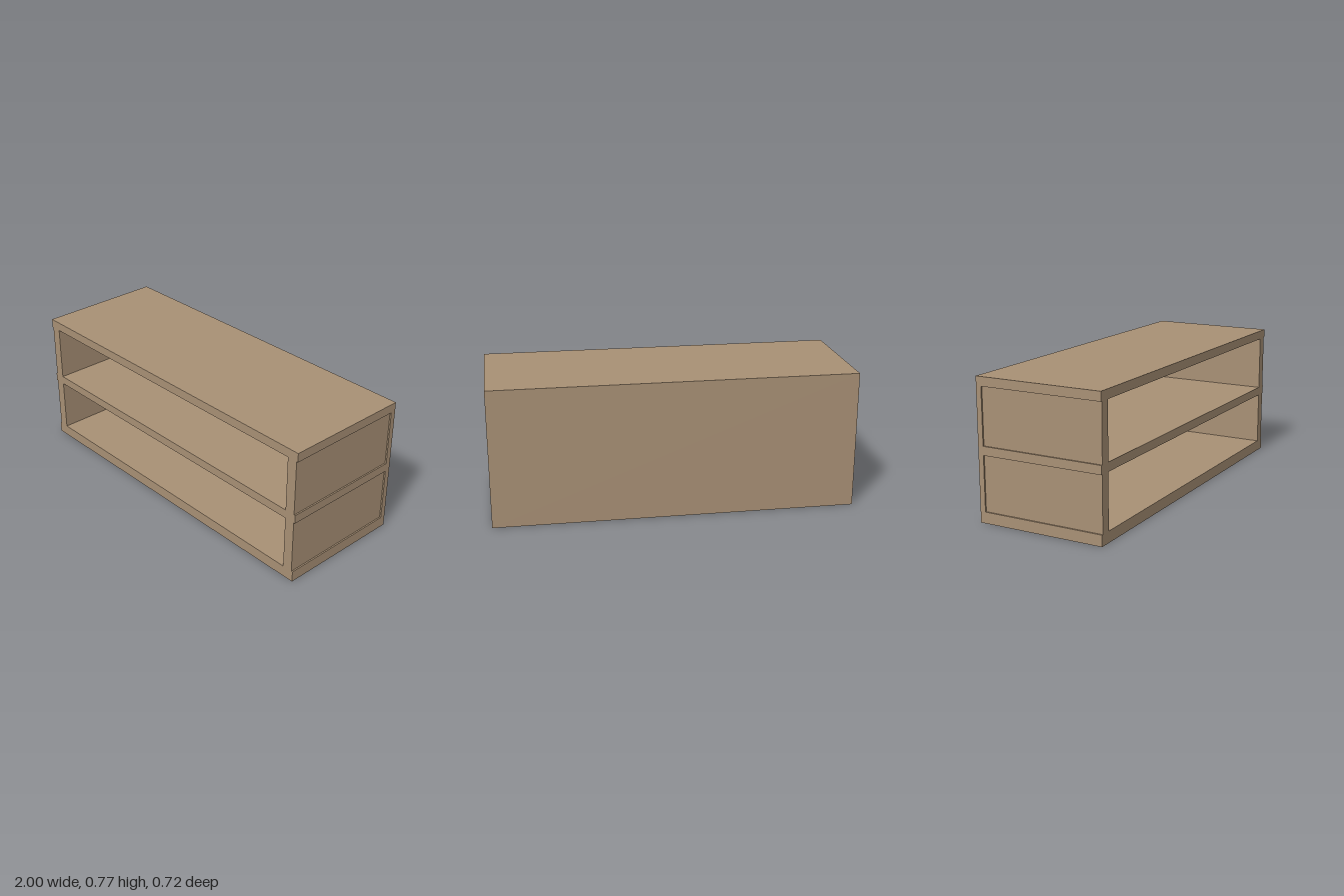
import * as THREE from 'three';

export function createModel() {
  const group = new THREE.Group();
  const wood = new THREE.MeshStandardMaterial({ color: 0xa89075 });
  wood.name = 'light brown wood';

  // Box given by its lower and upper corners
  function board(name, [x0, y0, z0], [x1, y1, z1]) {
    const mesh = new THREE.Mesh(new THREE.BoxGeometry(x1 - x0, y1 - y0, z1 - z0), wood);
    mesh.name = name;
    mesh.position.set((x0 + x1) / 2, (y0 + y1) / 2, (z0 + z1) / 2);
    group.add(mesh);
  }

  const W = 1, D = 0.36, H = 0.767, back = -0.33;
  const inner = 0.935, outer = 0.992;
  const levels = [
    ['bottomBoard', 0, 0.061],
    ['middleShelf', 0.361, 0.409],
    ['topBoard', 0.717, H],
  ];

  // Full-width back panel
  board('backPanel', [-W, 0, -D], [W, H, back]);

  // Horizontal boards
  for (const [name, y0, y1] of levels) board(name, [-W, y0, back], [W, y1, D]);

  // Slightly recessed side panels between the boards
  for (let i = 0; i < 2; i++) {
    const y0 = levels[i][2], y1 = levels[i + 1][1];
    const row = i ? 'upper' : 'lower';
    board(row + 'LeftSide', [inner, y0, back], [outer, y1, D]);
    board(row + 'RightSide', [-outer, y0, back], [-inner, y1, D]);
  }
  return group;
}
